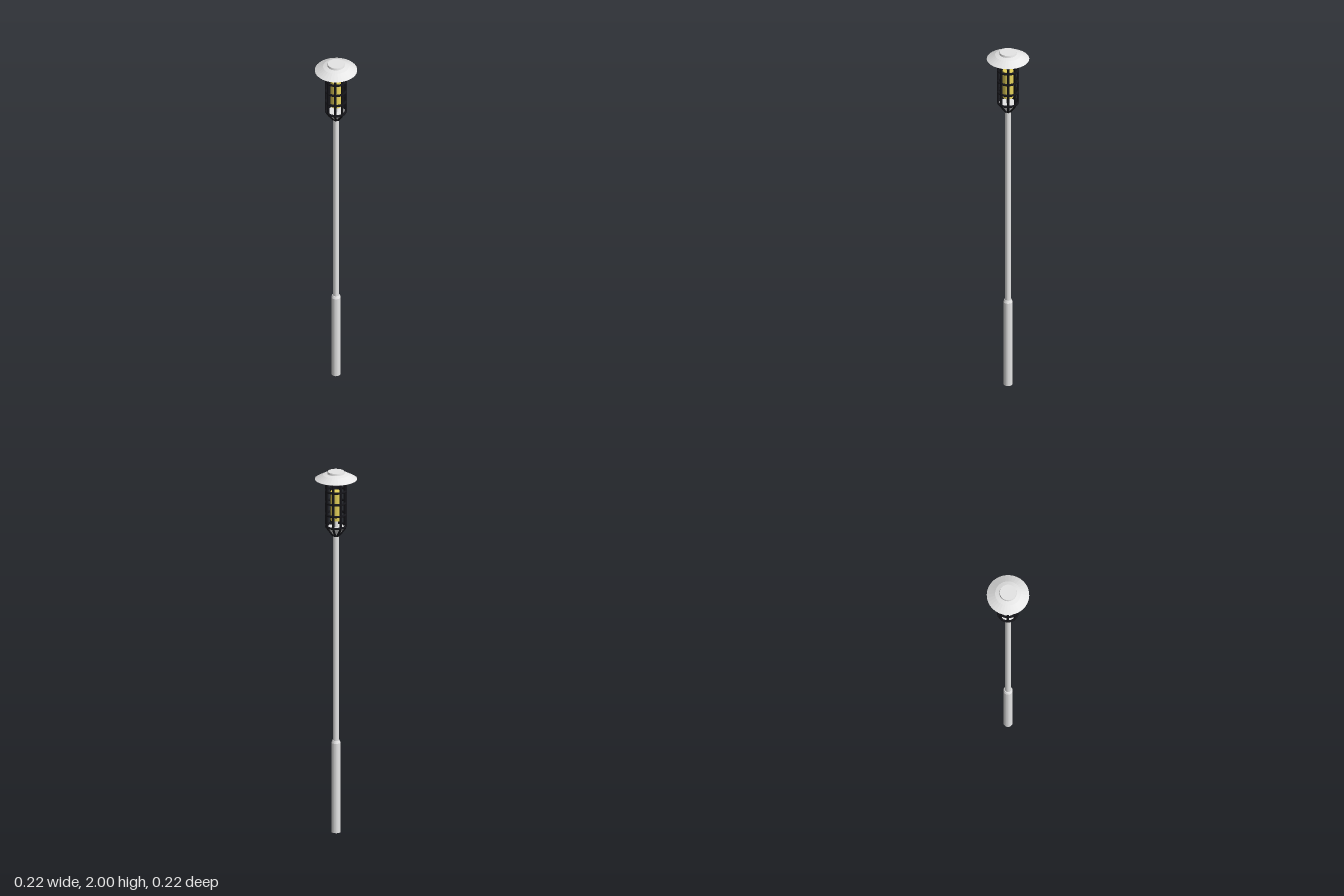
import * as THREE from 'three';

export function createModel() {
  const model = new THREE.Group();
  model.name = 'gardenLamp';

  const steel = new THREE.MeshStandardMaterial({ color: 0xe6e6e6, flatShading: true });
  steel.name = 'light grey steel';
  const iron = new THREE.MeshStandardMaterial({ color: 0x15151a });
  iron.name = 'black iron';
  const glow = new THREE.MeshStandardMaterial({ color: 0xe6d25a });
  glow.name = 'yellow lamp';

  const add = (name, geometry, material, y = 0, parent = model) => {
    const mesh = new THREE.Mesh(geometry, material);
    mesh.name = name;
    mesh.position.y = y;
    parent.add(mesh);
    return mesh;
  };
  const lathe = (points, segments) =>
    new THREE.LatheGeometry(points.map(([r, y]) => new THREE.Vector2(r, y)), segments);

  // Stepped post: thick sleeve with a chamfered shoulder, then a slim pole
  add('base', lathe([[0, 0], [0.0245, 0], [0.0245, 0.496], [0.019, 0.509], [0, 0.509]], 24), steel);
  add('pole', new THREE.CylinderGeometry(0.0155, 0.0155, 1.15, 20), steel, 1.078);

  // Funnel under the cage and the stem that carries the lamp
  add('funnel', new THREE.CylinderGeometry(0.049, 0.0155, 0.045, 24), steel, 1.6705);
  add('lampStem', new THREE.CylinderGeometry(0.01, 0.01, 0.04, 12), steel, 1.713);
  add('lamp', new THREE.CylinderGeometry(0.028, 0.028, 0.16, 24), glow, 1.81);

  // Cage: eight bent bars tied together by rings
  const cage = new THREE.Group();
  cage.name = 'cage';
  model.add(cage);
  const cageRadius = 0.0525;
  const barPath = new THREE.CurvePath();
  const corners = [[0.016, 1.646], [cageRadius, 1.695], [cageRadius, 1.965]]
    .map(([r, y]) => new THREE.Vector3(r, y, 0));
  barPath.add(new THREE.LineCurve3(corners[0], corners[1]));
  barPath.add(new THREE.LineCurve3(corners[1], corners[2]));
  const barGeometry = new THREE.TubeGeometry(barPath, 24, 0.0064, 8);
  for (let i = 0; i < 8; i++) {
    add('cageBar', barGeometry, iron, 0, cage).rotation.y = i * Math.PI / 4;
  }
  const ringGeometry = new THREE.TorusGeometry(cageRadius, 0.0064, 8, 40);
  for (const y of [1.698, 1.764, 1.829, 1.894, 1.956]) {
    add('cageRing', ringGeometry, iron, y, cage).rotation.x = Math.PI / 2;
  }
  const collar = new THREE.TorusGeometry(0.016, 0.005, 8, 24);
  add('cageCollar', collar, iron, 1.647, cage).rotation.x = Math.PI / 2;

  // Hollow shade and its top button
  add('shade', lathe([
    [0, 1.979], [0.064, 1.976], [0.11, 1.957], [0.112, 1.959],
    [0.068, 1.983], [0.046, 1.989], [0, 1.989],
  ], 32), steel);
  add('topButton', new THREE.CylinderGeometry(0.0435, 0.0465, 0.014, 32), steel, 1.993);

  return model;
}
